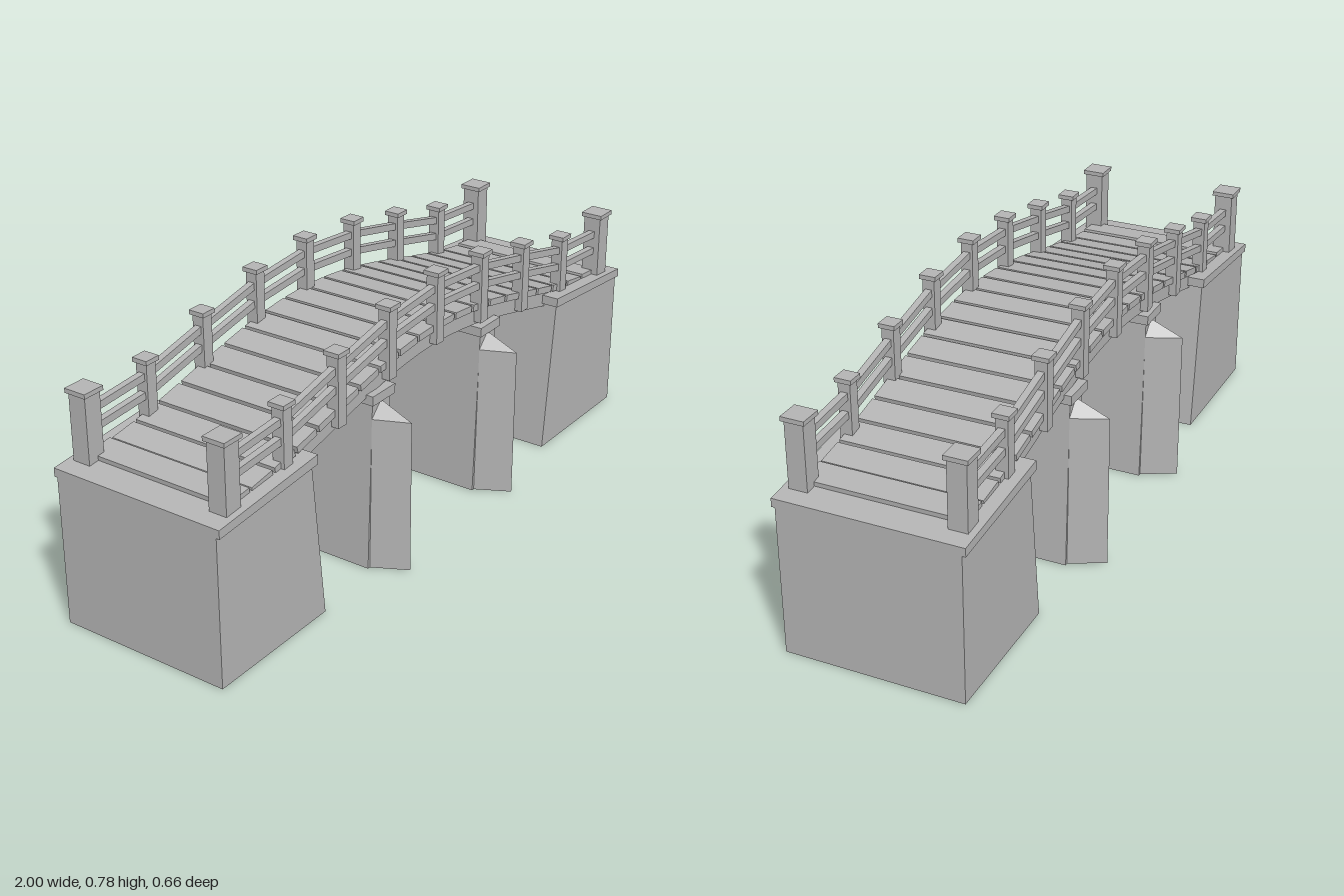
import * as THREE from 'three';

const stone = new THREE.MeshStandardMaterial({ color: 0xb4b4b4 });
stone.name = 'grey';

// Height of the walking surface along the bridge
const deckY = (x) => 0.623 - 0.075 * (1 - Math.cos(Math.PI * x));
const postXs = [-0.92, -0.69, -0.46, -0.23, 0, 0.23, 0.46, 0.69, 0.92];

function add(parent, name, geometry, x = 0, y = 0, z = 0) {
  const mesh = new THREE.Mesh(geometry, stone);
  mesh.name = name;
  mesh.position.set(x, y, z);
  parent.add(mesh);
  return mesh;
}

// Side outline in x and y, extruded evenly to both sides of z = 0
function slab(points, halfDepth) {
  const shape = new THREE.Shape(points.map(([x, y]) => new THREE.Vector2(x, y)));
  return new THREE.ExtrudeGeometry(shape, { depth: halfDepth * 2, bevelEnabled: false })
    .translate(0, 0, -halfDepth);
}

// Pointed cutwater with a small hipped top, facing +z
function noseGeometry() {
  const A = [-0.052, 0, 0.23], B = [0.052, 0, 0.23], T0 = [0, 0, 0.33];
  const a = [-0.043, 0.457, 0.23], b = [0.043, 0.457, 0.23], T1 = [0, 0.457, 0.33];
  const P = [0, 0.5, 0.23];
  const faces = [T0, B, T1, B, b, T1, A, T0, T1, A, T1, a, b, P, T1, a, T1, P, A, B, T0];
  const g = new THREE.BufferGeometry();
  g.setAttribute('position', new THREE.Float32BufferAttribute(faces.flat(), 3));
  g.computeVertexNormals();
  return g;
}

function abutment() {
  const g = new THREE.Group();
  g.name = 'abutment';
  add(g, 'abutmentBlock', slab([[0.57, 0], [1, 0], [1, 0.435], [0.62, 0.465]], 0.26));
  add(g, 'abutmentCap', slab([[0.607, 0.465], [1, 0.435], [1, 0.46], [0.607, 0.493]], 0.27));
  return g;
}

function pier() {
  const g = new THREE.Group();
  g.name = 'pier';
  add(g, 'pierBody', slab([[-0.061, 0], [0.061, 0], [0.042, 0.457], [0.04, 0.505], [-0.04, 0.505], [-0.042, 0.457]], 0.23));
  add(g, 'pierCap', new THREE.BoxGeometry(0.104, 0.028, 0.48), 0, 0.516, 0);
  add(g, 'frontCutwater', noseGeometry());
  add(g, 'backCutwater', noseGeometry()).rotation.y = Math.PI;
  return g;
}

function railing() {
  const g = new THREE.Group();
  g.name = 'railing';
  for (const x of postXs) {
    const end = Math.abs(x) > 0.9;
    const top = end ? 0.67 : deckY(x) + 0.16;
    const bottom = end ? 0.455 : deckY(x) - 0.056;
    const w = end ? 0.055 : 0.036;
    add(g, 'post', new THREE.BoxGeometry(w, top - 0.013 - bottom, w), x, (top - 0.013 + bottom) / 2, 0);
    add(g, 'postCap', new THREE.BoxGeometry(w + 0.013, 0.013, w + 0.013), x, top - 0.0065, 0);
  }
  // Straight rails from post to post
  const base = (x) => Math.max(deckY(x), 0.49);
  for (let i = 0; i < postXs.length - 1; i++) {
    const x0 = postXs[i], x1 = postXs[i + 1];
    const y0 = base(x0), y1 = base(x1);
    for (const [name, h] of [['topRail', 0.11], ['lowerRail', 0.056]]) {
      const rail = add(g, name, new THREE.BoxGeometry(Math.hypot(x1 - x0, y1 - y0), 0.021, 0.02),
        (x0 + x1) / 2, (y0 + y1) / 2 + h, 0);
      rail.rotation.z = Math.atan2(y1 - y0, x1 - x0);
    }
  }
  return g;
}

function deck() {
  const g = new THREE.Group();
  g.name = 'deck';
  // Curved beams under the planks
  const upper = [], lower = [];
  for (let i = 0; i <= 24; i++) {
    const x = -0.92 + (1.84 * i) / 24;
    upper.push([x, deckY(x) - 0.019]);
    lower.push([x, deckY(x) - 0.067]);
  }
  for (const z of [-0.2, 0, 0.2]) {
    add(g, 'beam', slab([...lower, ...upper.reverse()], 0.018), 0, 0, z);
    upper.reverse();
  }
  // Cross planks that follow the curve
  const step = 0.092;
  for (let i = 0; i < 20; i++) {
    const x = (i - 9.5) * step;
    const plank = add(g, 'plank', new THREE.BoxGeometry(0.083, 0.02, 0.46),
      x, Math.max(deckY(x), 0.484) - 0.01, 0);
    plank.rotation.z = Math.atan2(deckY(x + 0.04) - deckY(x - 0.04), 0.08);
  }
  return g;
}

export function createModel() {
  const model = new THREE.Group();
  model.name = 'footbridge';
  for (const side of [-1, 1]) {
    const end = abutment();
    if (side < 0) end.rotation.y = Math.PI;
    model.add(end);

    const support = pier();
    support.position.x = side * 0.27;
    model.add(support);

    const rails = railing();
    rails.position.z = side * 0.223;
    model.add(rails);
  }
  model.add(deck());
  return model;
}
